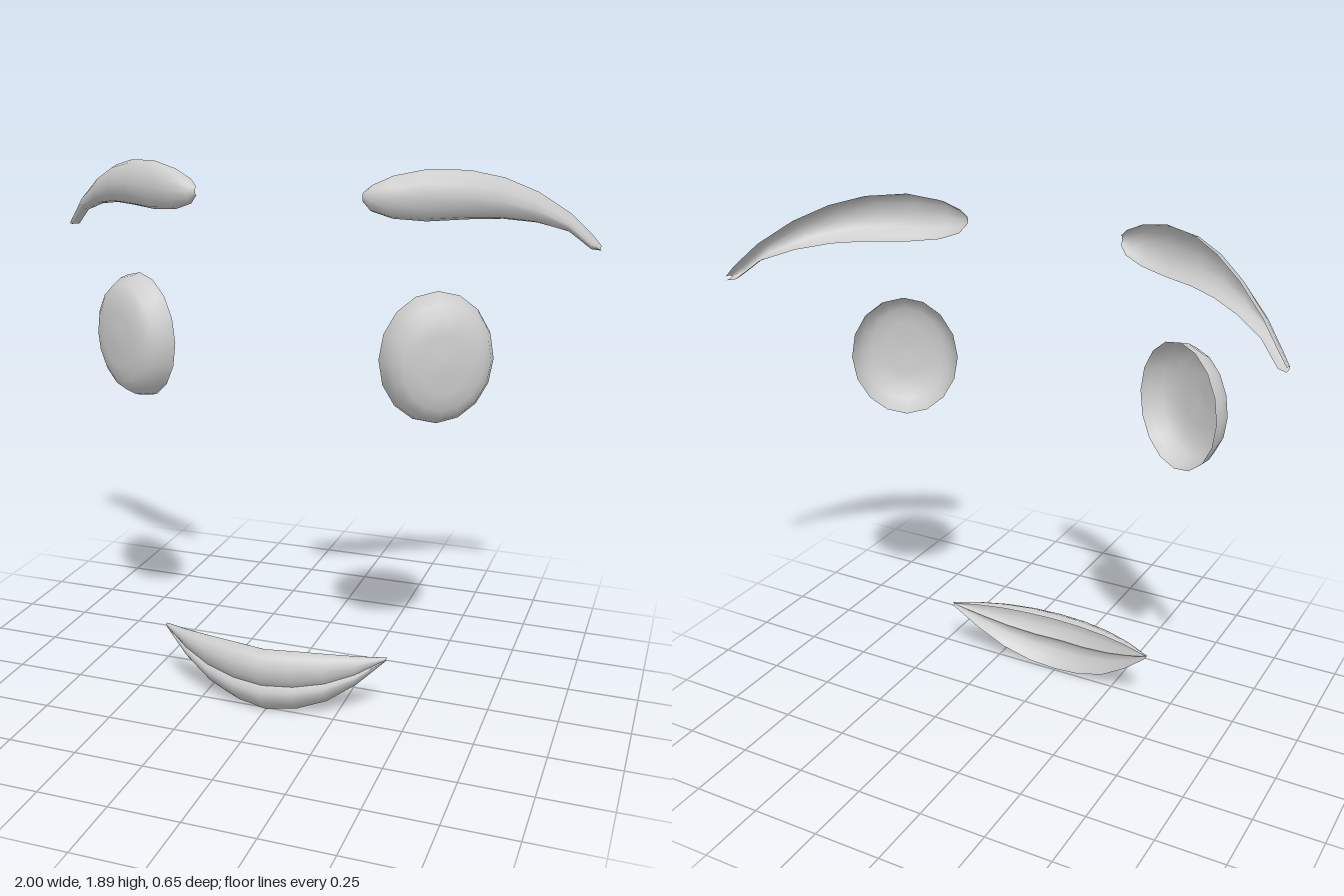
import * as THREE from 'three';

const grey = new THREE.MeshStandardMaterial({ color: 0xcccccc, side: THREE.DoubleSide });
grey.name = 'plain grey';

// Smooth skin over cross-sections ordered by x, each listed from top to bottom
function loft(sections) {
  const n = sections[0].length, index = [];
  for (let i = 0; i < sections.length - 1; i++) {
    for (let j = 0; j < n - 1; j++) {
      const a = i * n + j, b = a + n;
      index.push(a, a + 1, b + 1, a, b + 1, b);
    }
  }
  const geometry = new THREE.BufferGeometry();
  geometry.setAttribute('position', new THREE.Float32BufferAttribute(sections.flat(2), 3));
  geometry.setIndex(index);
  geometry.computeVertexNormals();
  return geometry;
}

function addMesh(group, geometry, name) {
  const mesh = new THREE.Mesh(geometry, grey);
  mesh.name = name;
  group.add(mesh);
}

// Eye: shallow oval cup, open behind and turned outwards
function eyeGeometry(side) {
  const profile = [[1, 0], [0.96, 0.035], [0.86, 0.072], [0.7, 0.094], [0.45, 0.106], [0, 0.11]];
  const geometry = new THREE.LatheGeometry(profile.map(([r, d]) => new THREE.Vector2(r, d)), 16);
  geometry.rotateX(Math.PI / 2);
  geometry.scale(0.193, 0.222, 1);
  geometry.rotateY(side * 0.49);
  geometry.translate(side * 0.533, 1.292, 0.068);
  return geometry;
}

// Brow stations: x, top, bottom, back z, front z
const browStations = [
  [0.29, 1.825, 1.795, 0.118, 0.128], [0.315, 1.848, 1.765, 0.105, 0.142],
  [0.38, 1.878, 1.742, 0.085, 0.142], [0.48, 1.898, 1.732, 0.04, 0.1],
  [0.6, 1.892, 1.735, -0.035, 0.04], [0.7, 1.865, 1.732, -0.11, -0.03],
  [0.8, 1.815, 1.715, -0.185, -0.115], [0.9, 1.74, 1.68, -0.26, -0.2],
  [0.97, 1.665, 1.618, -0.31, -0.258], [1, 1.628, 1.614, -0.322, -0.29],
];

function browGeometry(side) {
  const sections = browStations.map(([x, top, bottom, back, front]) => {
    const ring = [];
    for (let k = 0; k <= 6; k++) {
      const a = (k / 6) * Math.PI;
      ring.push([side * x, (top + bottom) / 2 + Math.cos(a) * (top - bottom) / 2,
        back + Math.sin(a) * (front - back)]);
    }
    return ring;
  });
  return loft(side > 0 ? sections : sections.reverse());
}

// Mouth stations: x, top, crease, bottom, back z, front z
const mouthStations = [
  [0, 0.246, 0.115, 0.003, 0.253, 0.325], [0.11, 0.25, 0.121, 0.018, 0.242, 0.311],
  [0.22, 0.249, 0.142, 0.06, 0.226, 0.284], [0.32, 0.244, 0.178, 0.13, 0.204, 0.243],
  [0.42, 0.236, 0.23, 0.225, 0.172, 0.183],
];
// Lip profiles: height from the upper to the lower edge, depth from back to front
const upperLip = [[0.91, 0], [1, 0.3], [0.88, 0.75], [0.62, 1], [0.28, 0.98], [0, 0.62]];
const lowerLip = [[1, 0.62], [0.8, 0.84], [0.5, 0.76], [0.2, 0.4], [0, 0.08]];

function lipGeometry(profile, topColumn) {
  const half = mouthStations.map((s) => profile.map(([h, d]) => [
    s[0],
    THREE.MathUtils.lerp(s[topColumn + 1], s[topColumn], h),
    THREE.MathUtils.lerp(s[4], s[5], d),
  ]));
  const mirrored = half.slice(1).reverse().map((ring) => ring.map(([x, y, z]) => [-x, y, z]));
  return loft([...mirrored, ...half]);
}

export function createModel() {
  const model = new THREE.Group();
  model.name = 'face features';
  for (const [side, label] of [[1, 'left'], [-1, 'right']]) {
    addMesh(model, eyeGeometry(side), label + 'Eye');
    addMesh(model, browGeometry(side), label + 'Eyebrow');
  }
  const mouth = new THREE.Group();
  mouth.name = 'mouth';
  addMesh(mouth, lipGeometry(upperLip, 1), 'upperLip');
  addMesh(mouth, lipGeometry(lowerLip, 2), 'lowerLip');
  model.add(mouth);
  return model;
}
